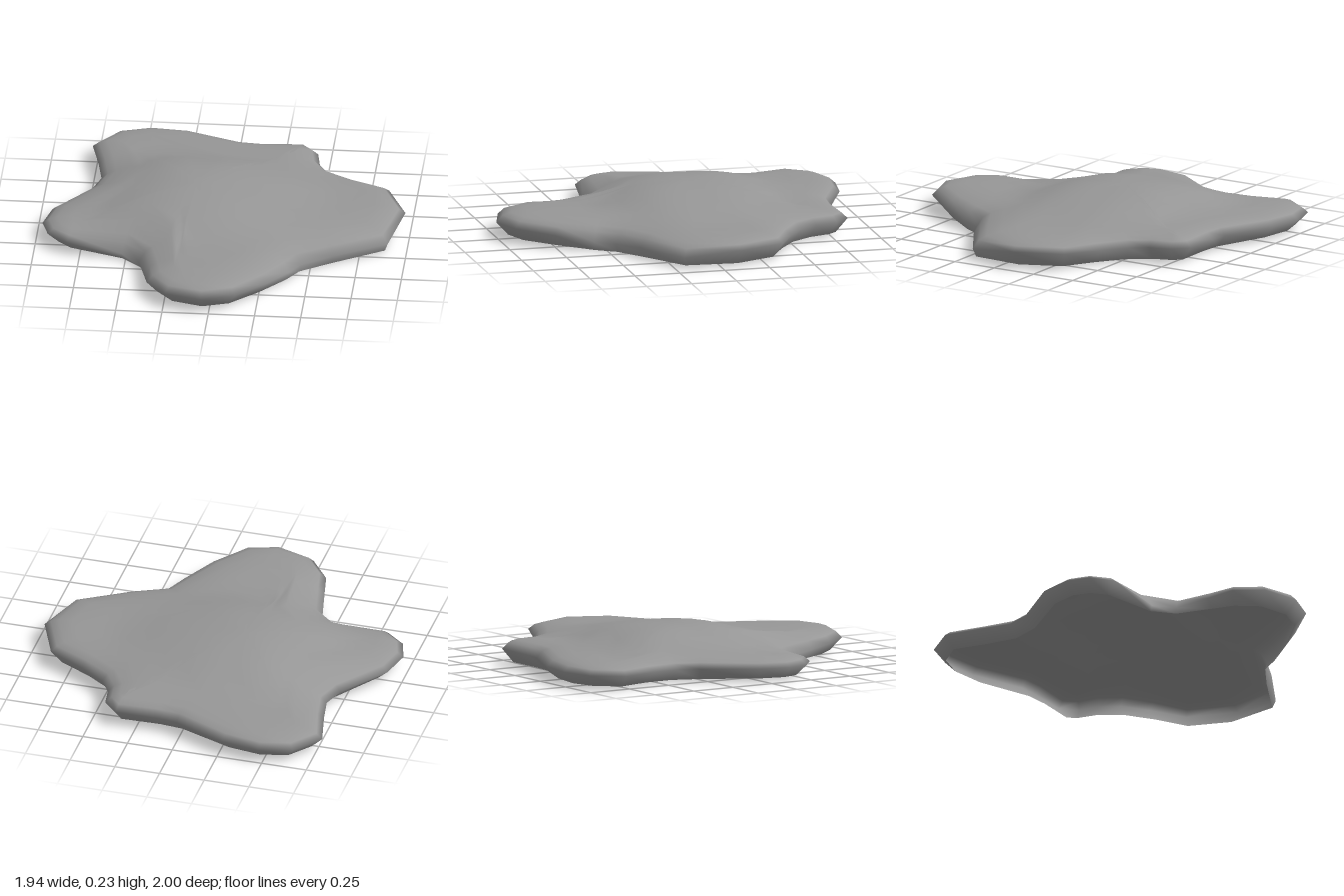
import * as THREE from 'three';
import { mergeVertices } from 'three/addons/utils/BufferGeometryUtils.js';

// Lobed outline in x, z, counter-clockwise seen from above
const OUTLINE = [
  [-0.04, 1.0], [0.14, 0.94], [0.29, 0.76], [0.4, 0.57], [0.45, 0.46], [0.62, 0.37], [0.9, 0.2], [0.97, -0.1],
  [0.86, -0.36], [0.66, -0.46], [0.52, -0.55], [0.46, -0.65], [0.44, -0.77], [0.36, -0.85], [0.13, -0.84],
  [0.02, -0.85], [-0.27, -0.97], [-0.48, -1.0], [-0.66, -0.95], [-0.78, -0.79], [-0.73, -0.58], [-0.7, -0.42],
  [-0.74, -0.29], [-0.93, -0.03], [-0.97, 0.14], [-0.93, 0.27], [-0.82, 0.36], [-0.52, 0.39], [-0.42, 0.48],
  [-0.38, 0.66], [-0.35, 0.8], [-0.24, 0.94],
].map(([x, z]) => new THREE.Vector2(x, z));
const N = OUTLINE.length;
const CENTRE = new THREE.Vector2(-0.15, -0.1);
const RIGHT_FLANK = new THREE.Vector2(0.82, 0.27);

// Outline point moved inward along its normal, then scaled towards the centre
function ringPoint(i, inset, scale) {
  const p = OUTLINE[i];
  const t = OUTLINE[(i + 1) % N].clone().sub(OUTLINE[(i + N - 1) % N]).normalize();
  return new THREE.Vector2(p.x + t.y * inset, p.y - t.x * inset).sub(CENTRE).multiplyScalar(scale).add(CENTRE);
}

// 1 in the notches between the lobes, 0 at the lobe tips
const notch = (i) => 1 - THREE.MathUtils.smoothstep(OUTLINE[i].length(), 0.55, 0.95);

// 1 where the wall spreads out down to the ground, 0 where it is undercut
function flare(i) {
  const front = 0.35 + 0.65 * THREE.MathUtils.smoothstep(OUTLINE[i].y, -0.2, 0.25);
  return Math.max(notch(i) * front, 1 - OUTLINE[i].distanceTo(RIGHT_FLANK) / 0.35);
}

// Broad crown, long from front to back, that runs out into flat lobes
function topHeight(x, z) {
  const dx = (x + 0.22) / (x < -0.22 ? 0.5 : 0.8);
  const dz = Math.abs(z + 0.1) / 0.53;
  const dome = Math.max(0, 1 - dx ** 2 - dz ** 3) ** 1.4;
  return 0.147 + 0.025 * Math.min(x, 0) + 0.092 * dome;
}

// Thin shell, open below
function shellGeometry() {
  const foot = (i) => {
    const p = ringPoint(i, 0.065 * (1 - flare(i)), 1);
    return [p.x, 0.014 * (1 - notch(i)), p.y];
  };
  const rim = (i) => [OUTLINE[i].x, 0.086 + 0.012 * OUTLINE[i].x - 0.055 * flare(i), OUTLINE[i].y];
  const top = (inset, scale, drop, flareDrop) => (i) => {
    const p = ringPoint(i, inset, scale);
    return [p.x, topHeight(p.x, p.y) - drop - flareDrop * flare(i), p.y];
  };

  // Cross-section loops from the lower edge to the crown
  const rings = [
    foot, rim,
    top(0.035, 1, 0.024, 0.03), top(0.08, 1, 0.01, 0.02), top(0.16, 1, 0, 0.008),
    ...[0.85, 0.7, 0.55, 0.4, 0.25, 0.1, 0].map((scale) => top(0.16, scale, 0, 0)),
  ];
  const positions = [];
  const index = [];
  rings.forEach((ring, r) => {
    for (let i = 0; i < N; i++) {
      positions.push(...ring(i));
      const a = r * N + i, b = r * N + ((i + 1) % N);
      if (r < rings.length - 1) index.push(a, b, a + N);
      if (r < rings.length - 2) index.push(b, b + N, a + N);
    }
  });
  const geometry = new THREE.BufferGeometry();
  geometry.setAttribute('position', new THREE.Float32BufferAttribute(positions, 3));
  geometry.setIndex(index);
  const merged = mergeVertices(geometry, 1e-4);
  merged.computeVertexNormals();
  return merged;
}

export function createModel() {
  const group = new THREE.Group();
  group.name = 'flatRock';
  const material = new THREE.MeshStandardMaterial({ color: 0x979797, side: THREE.DoubleSide });
  const shell = new THREE.Mesh(shellGeometry(), material);
  shell.name = 'lobedShell';
  group.add(shell);
  return group;
}
